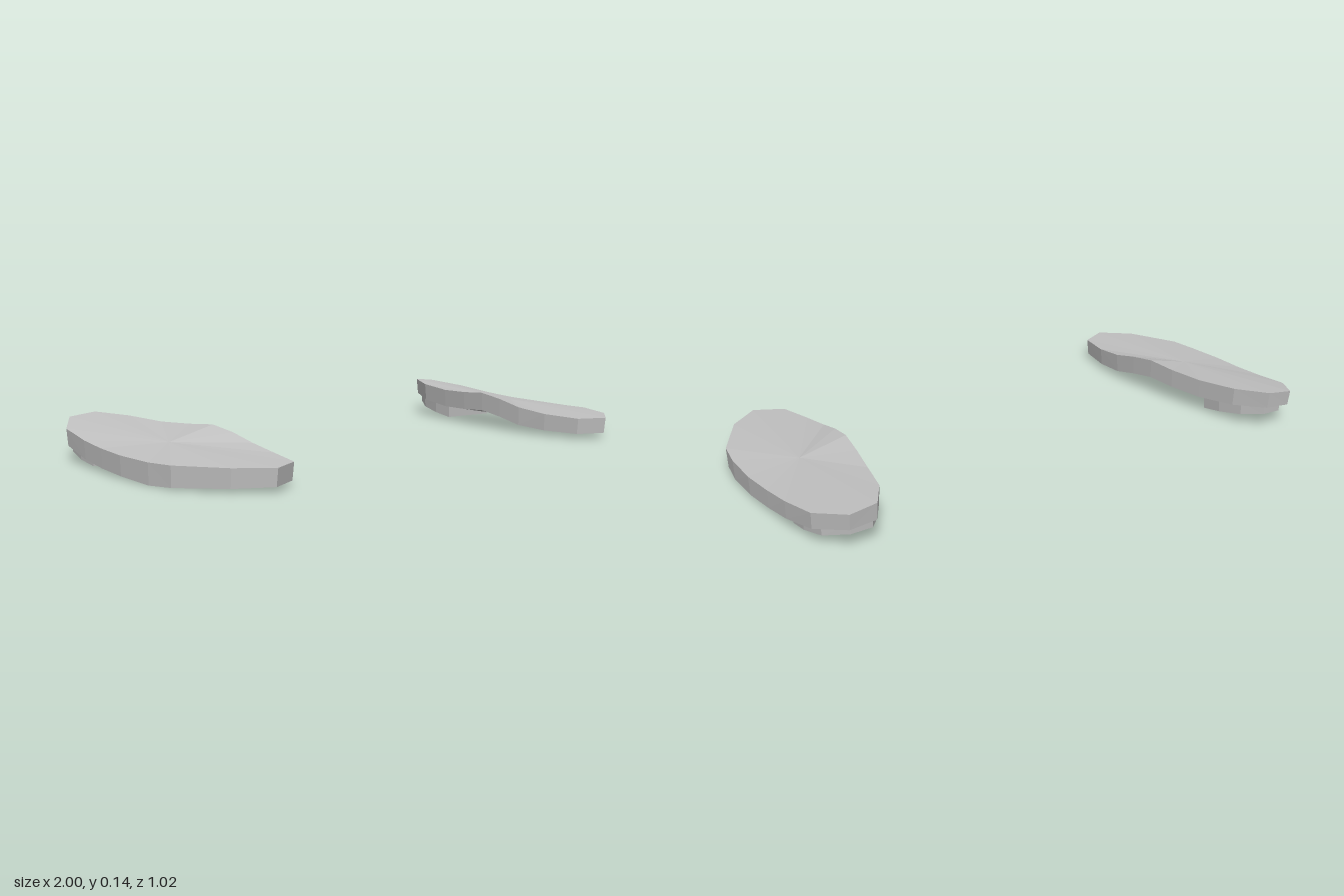
import * as THREE from 'three';

// Outline of the left sole, anticlockwise seen from above: x, z, top height, bottom height
const SOLE = [
  [0.78, 0.505, 0.08, 0.022], [0.885, 0.42, 0.08, 0.018], [0.98, 0.25, 0.077, 0.009],
  [0.995, 0.15, 0.075, 0.004], [1.0, 0.0, 0.078, 0.012], [0.99, -0.13, 0.083, 0.018],
  [0.98, -0.25, 0.093, 0.03], [0.96, -0.4, 0.113, 0.056], [0.885, -0.512, 0.135, 0.08],
  [0.79, -0.505, 0.145, 0.085], [0.725, -0.39, 0.137, 0.072], [0.69, -0.24, 0.128, 0.06],
  [0.665, -0.11, 0.132, 0.063], [0.65, 0.0, 0.14, 0.07], [0.643, 0.1, 0.125, 0.055],
  [0.64, 0.2, 0.102, 0.033], [0.65, 0.32, 0.087, 0.024], [0.68, 0.455, 0.08, 0.022],
];

// Heel pad outline in the same form
const HEEL = [
  [0.955, -0.24, 0.05, 0.006], [0.955, -0.32, 0.055, 0.018], [0.935, -0.41, 0.07, 0.033],
  [0.87, -0.48, 0.085, 0.05], [0.795, -0.48, 0.09, 0.052], [0.745, -0.41, 0.085, 0.038],
  [0.72, -0.32, 0.075, 0.024], [0.715, -0.24, 0.065, 0.012],
];

// Slab with a fan on top and below and a wall between; side -1 mirrors it
function slab(outline, topCentre, bottomCentre, inset, side) {
  const [cx, , cz] = bottomCentre;
  const pos = [];
  const tri = (a, b, c) => {
    for (const p of side > 0 ? [a, b, c] : [a, c, b]) pos.push(p[0] * side, p[1], p[2]);
  };
  const top = outline.map(([x, z, t]) => [x, t, z]);
  const bottom = outline.map(([x, z, , b]) => [cx + (x - cx) * inset, b, cz + (z - cz) * inset]);
  for (let i = 0; i < outline.length; i++) {
    const j = (i + 1) % outline.length;
    tri(topCentre, top[i], top[j]);
    tri(bottomCentre, bottom[j], bottom[i]);
    tri(bottom[i], bottom[j], top[j]);
    tri(bottom[i], top[j], top[i]);
  }
  const geo = new THREE.BufferGeometry();
  geo.setAttribute('position', new THREE.Float32BufferAttribute(pos, 3));
  geo.computeVertexNormals();
  return geo;
}

export function createModel() {
  const model = new THREE.Group();
  model.name = 'pairOfSoles';
  const grey = new THREE.MeshStandardMaterial({ color: 0xc0c0c0 });
  grey.name = 'soleGrey';

  for (const side of [1, -1]) {
    const shoe = new THREE.Group();
    shoe.name = side > 0 ? 'leftSole' : 'rightSole';
    const add = (name, geo) => {
      const mesh = new THREE.Mesh(geo, grey);
      mesh.name = name;
      shoe.add(mesh);
    };
    add('solePlate', slab(SOLE, [0.82, 0.1, 0], [0.82, 0.035, 0], 0.985, side));
    add('heelPad', slab(HEEL, [0.84, 0.07, -0.35], [0.84, 0.026, -0.35], 0.98, side));
    model.add(shoe);
  }
  return model;
}
